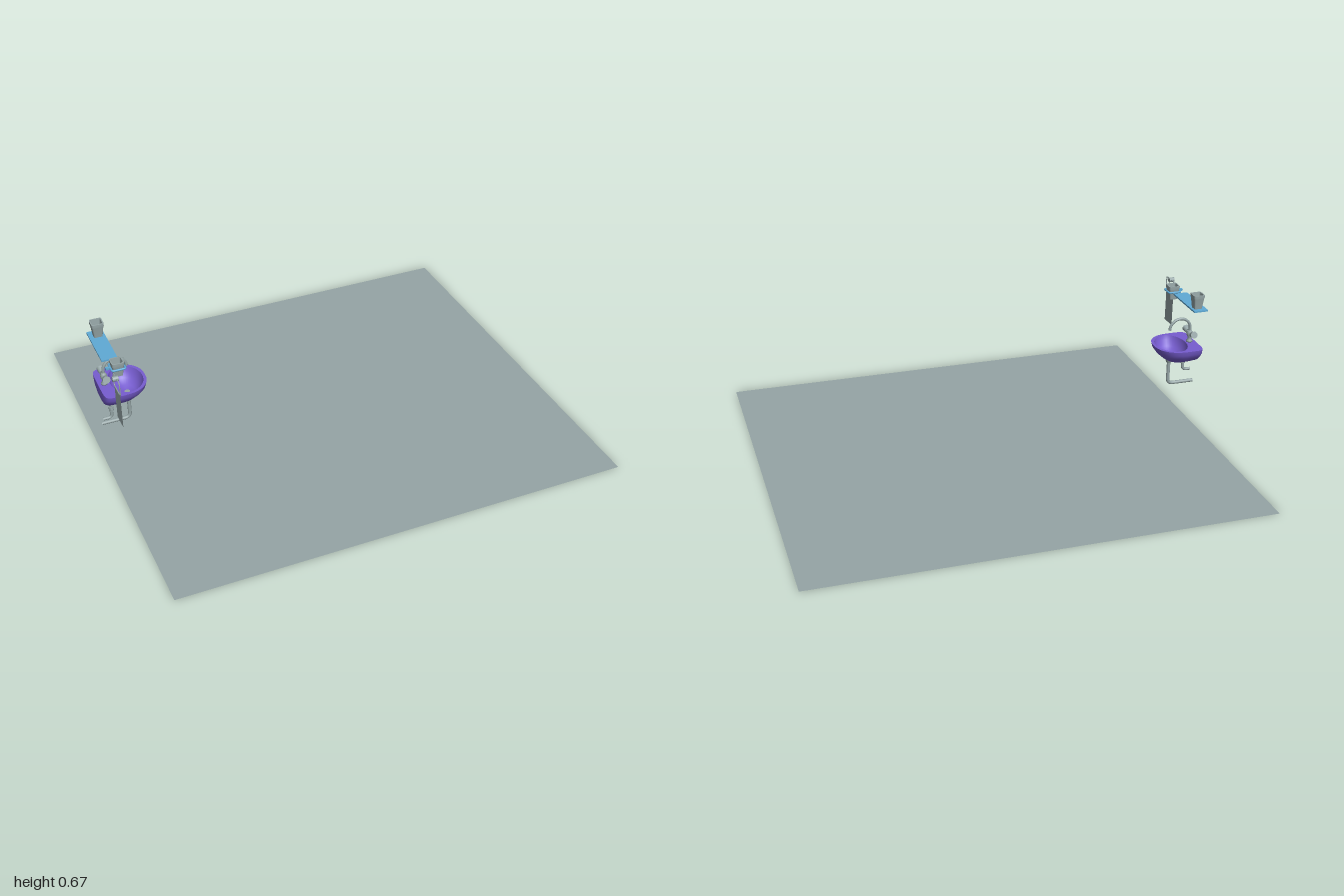
import * as THREE from 'three';

const mat = (name, color) => new THREE.MeshStandardMaterial({ name, color, side: THREE.DoubleSide });

export function createModel() {
  const root = new THREE.Group();
  root.name = 'washroomCorner';
  const grey = mat('grey', 0x95a5a6);
  const purple = mat('purple', 0x775dd0);
  const blue = mat('blue', 0x5faad6);
  const V = (x, y, z) => new THREE.Vector3(x, y, z);
  const ZC = -0.006; // centre line of the basin

  const add = (name, geo, material, x = 0, y = 0, z = 0, parent = root) => {
    const m = new THREE.Mesh(geo, material);
    m.name = name;
    m.position.set(x, y, z);
    parent.add(m);
    return m;
  };

  // Skin over rings: [y, centre x, back reach, front reach, half width, back power, front power]
  const pow = (v, e) => Math.sign(v) * Math.pow(Math.abs(v), e);
  function loft(rings, n = 40) {
    const pos = [], idx = [];
    rings.forEach(([y, cx, back, front, hz, eb = 1, ef = 1], i) => {
      for (let j = 0; j < n; j++) {
        const t = (j / n) * Math.PI * 2, c = Math.cos(t), s = Math.sin(t);
        const e = c < 0 ? eb : ef;
        pos.push(cx + pow(c, e) * (c < 0 ? back : front), y, pow(s, e) * hz);
        if (i + 1 < rings.length) {
          const a = i * n + j, b = i * n + (j + 1) % n;
          idx.push(a, a + n, b, b, a + n, b + n);
        }
      }
    });
    const g = new THREE.BufferGeometry();
    g.setAttribute('position', new THREE.Float32BufferAttribute(pos, 3));
    g.setIndex(idx);
    g.computeVertexNormals();
    return g;
  }

  // Pipe through corner points, each corner rounded with radius r
  function pipe(points, radius, r, closed = false) {
    const path = new THREE.CurvePath();
    const n = points.length;
    let last = closed ? null : points[0], first = null;
    for (let i = closed ? 0 : 1; i < (closed ? n : n - 1); i++) {
      const p = points[i], a = points[(i + n - 1) % n], b = points[(i + 1) % n];
      const p0 = p.clone().add(a.clone().sub(p).setLength(r));
      const p1 = p.clone().add(b.clone().sub(p).setLength(r));
      if (last) path.add(new THREE.LineCurve3(last, p0));
      path.add(new THREE.QuadraticBezierCurve3(p0, p, p1));
      first = first || p0;
      last = p1;
    }
    path.add(new THREE.LineCurve3(last, closed ? first : points[n - 1]));
    return new THREE.TubeGeometry(path, 64, radius, 10, closed);
  }

  // Floor
  add('floor', new THREE.PlaneGeometry(2, 1.814).rotateX(-Math.PI / 2), grey);

  // Basin: outside, flat rim and bowl
  const basin = new THREE.Group();
  basin.name = 'basin';
  basin.position.z = ZC;
  root.add(basin);
  const rimOuter = [0.405, -0.92, 0.08, 0.122, 0.113, 0.3, 0.85];
  const rimInner = [0.405, -0.89, 0.062, 0.08, 0.097];
  add('basinOutside', loft([
    [0.323, -0.9, 0, 0, 0],
    [0.324, -0.9, 0.05, 0.025, 0.03, 0.7],
    [0.331, -0.91, 0.065, 0.05, 0.055, 0.5],
    [0.345, -0.92, 0.078, 0.08, 0.078, 0.4, 0.9],
    [0.365, -0.92, 0.08, 0.102, 0.097, 0.35, 0.9],
    [0.385, -0.92, 0.08, 0.116, 0.109, 0.3, 0.85],
    rimOuter,
  ]), purple, 0, 0, 0, basin);
  add('basinRim', loft([rimOuter, rimInner]), purple, 0, 0, 0, basin);
  add('basinBowl', loft([
    rimInner,
    [0.385, -0.89, 0.059, 0.075, 0.091],
    [0.36, -0.888, 0.05, 0.062, 0.074],
    [0.342, -0.884, 0.032, 0.04, 0.045],
    [0.336, -0.88, 0, 0, 0],
  ]), purple, 0, 0, 0, basin);
  add('drainPlug', new THREE.CylinderGeometry(0.012, 0.012, 0.004, 20), grey, -0.88, 0.338, 0, basin);

  // Faucet: body, gooseneck spout and two tilted knobs
  const faucet = new THREE.Group();
  faucet.name = 'faucet';
  faucet.position.set(-0.973, 0.405, ZC);
  root.add(faucet);
  const bodyProfile = [[0, 0], [0.014, 0], [0.014, 0.006], [0.009, 0.012], [0.009, 0.024],
    [0.014, 0.032], [0.014, 0.046], [0.008, 0.056], [0, 0.056]].map(p => new THREE.Vector2(...p));
  add('faucetBody', new THREE.LatheGeometry(bodyProfile, 20), grey, 0, 0, 0, faucet);
  const neck = [V(0, 0.045, 0), V(0, 0.058, 0)];
  for (let i = 0; i <= 12; i++) {
    const a = Math.PI * (1 - i / 12);
    neck.push(V(0.05 + 0.05 * Math.cos(a), 0.066 + 0.05 * Math.sin(a), 0));
  }
  add('faucetSpout', new THREE.TubeGeometry(new THREE.CatmullRomCurve3(neck), 40, 0.0065, 10), grey, 0, 0, 0, faucet);
  for (const side of [-1, 1]) {
    const arm = new THREE.Group();
    arm.name = 'faucetHandle';
    arm.position.set(0, 0.034, 0);
    arm.rotation.x = side * 1.25;
    faucet.add(arm);
    add('handleStem', new THREE.CylinderGeometry(0.006, 0.006, 0.03, 12), grey, 0, 0.015, 0, arm);
    add('handleKnob', new THREE.CylinderGeometry(0.016, 0.012, 0.026, 16), grey, 0, 0.037, 0, arm);
  }

  // Waste pipe and supply pipe running back to the wall
  add('drainCollar', new THREE.CylinderGeometry(0.017, 0.011, 0.018, 20), grey, -0.877, 0.322, ZC);
  add('drainPipe', pipe([V(-0.877, 0.325, ZC), V(-0.877, 0.207, ZC), V(-1, 0.207, ZC)], 0.008, 0.025), grey);
  const sz = 0.026;
  add('supplyPipe', pipe([V(-0.963, 0.345, sz), V(-0.963, 0.252, sz), V(-1, 0.252, sz)], 0.007, 0.018), grey);
  add('supplyValve', new THREE.CylinderGeometry(0.0105, 0.0105, 0.022, 16), grey, -0.963, 0.297, sz);
  add('valveTap', new THREE.CylinderGeometry(0.006, 0.006, 0.016, 12).rotateX(Math.PI / 2), grey, -0.963, 0.297, sz + 0.012);

  // Shelf
  add('shelf', new THREE.BoxGeometry(0.066, 0.007, 0.226), blue, -0.967, 0.596, ZC);

  // Square tapered cups with rounded corners
  function cup(x, y, z) {
    const ring = (h, r) => [h, 0, r, r, r, 0.3, 0.3];
    const g = new THREE.Group();
    g.name = 'cup';
    g.position.set(x, y, z);
    root.add(g);
    const part = (name, rings) => add(name, loft(rings, 48), grey, 0, 0, 0, g);
    part('cupBase', [ring(0, 0), ring(0, 0.018)]);
    part('cupWall', [ring(0, 0.018), ring(0.05, 0.0245), ring(0.051, 0.026), ring(0.065, 0.026)]);
    part('cupRim', [ring(0.065, 0.026), ring(0.065, 0.021)]);
    part('cupInside', [ring(0.065, 0.021), ring(0.006, 0.015)]);
    part('cupFloor', [ring(0.006, 0.015), ring(0.006, 0)]);
  }
  cup(-0.963, 0.6, -0.08);
  cup(-0.952, 0.556, 0.16);

  // Holder ring and wall arm for the lower cup
  const h = 0.028;
  const holder = pipe([V(-h, 0, -h), V(h, 0, -h), V(h, 0, h), V(-h, 0, h)], 0.0045, 0.008, true);
  add('cupHolderRing', holder, blue, -0.952, 0.594, 0.16);
  add('cupHolderArm', new THREE.BoxGeometry(0.022, 0.009, 0.012), blue, -0.989, 0.594, 0.16);

  // Towel ring on a wall knob, with a hanging towel
  const tx = -0.984, tz = 0.258;
  add('towelRing', pipe([V(tx, 0.609, tz - 0.043), V(tx, 0.609, tz + 0.043),
    V(tx, 0.549, tz + 0.043), V(tx, 0.549, tz - 0.043)], 0.0025, 0.01, true), grey);
  add('towelKnob', new THREE.CylinderGeometry(0.011, 0.011, 0.024, 20).rotateZ(Math.PI / 2), grey, -0.988, 0.607, tz);
  add('towel', new THREE.PlaneGeometry(0.08, 0.157).rotateY(Math.PI / 2), grey, tx, 0.472, tz);

  return root;
}
